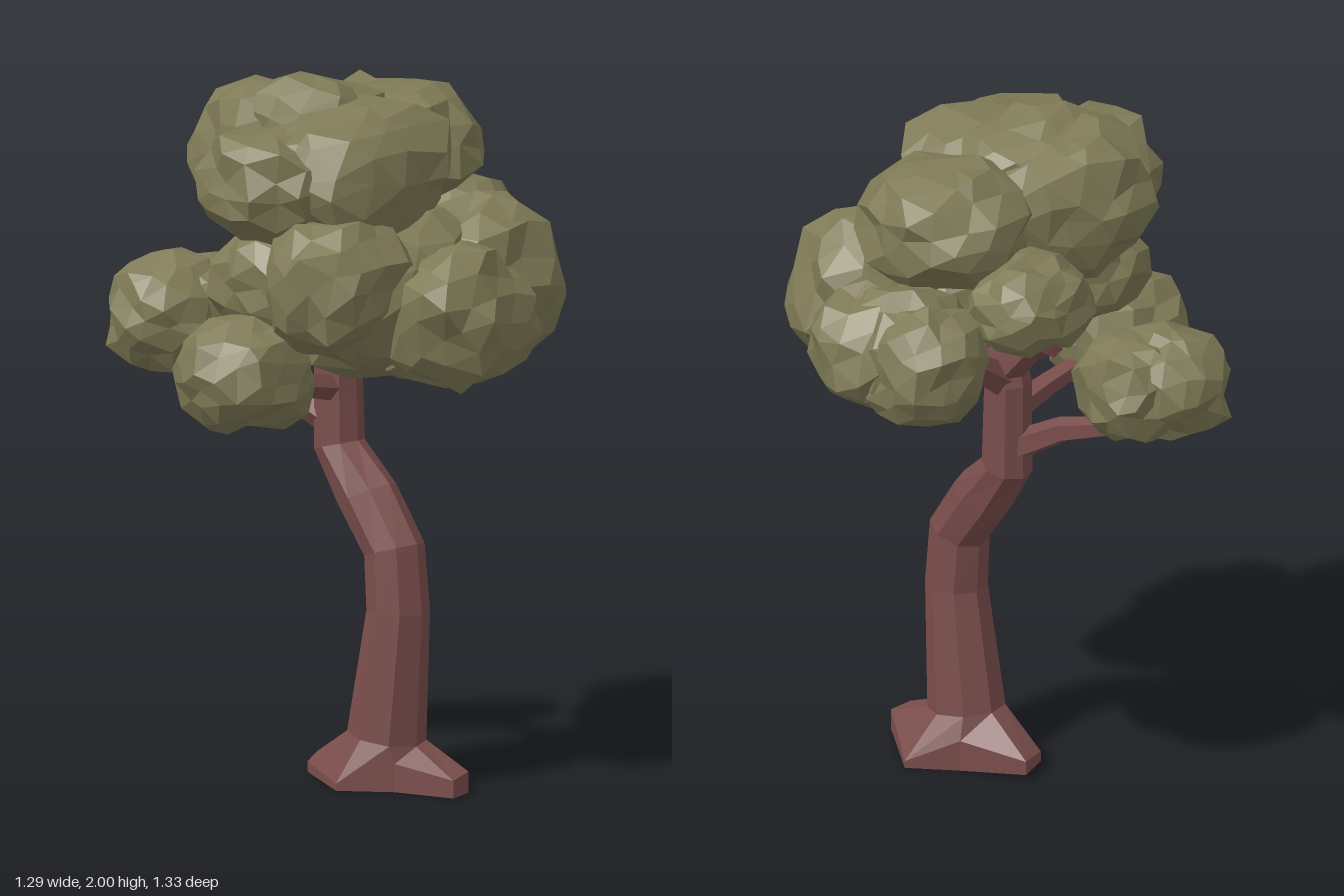
import * as THREE from 'three';

const bark = new THREE.MeshStandardMaterial({ color: 0x7a4e4c, flatShading: true });
const leaf = new THREE.MeshStandardMaterial({ color: 0x7f7a56, flatShading: true });

// Repeatable noise in -0.5..0.5 from a point
function hash(p, seed) {
  const [x, y, z] = [p.x, p.y, p.z].map((c) => Math.round(c * 500));
  const s = Math.sin(x * 1.27 + y * 3.11 + z * 7.47 + seed * 5.3) * 4375.85;
  return s - Math.floor(s) - 0.5;
}

// Faceted leaf clump: a slightly boxy icosphere with lumps and uneven corners
function clump(name, seed, [x, y, z], [rx, ry, rz]) {
  const geo = new THREE.IcosahedronGeometry(1, 2);
  const pos = geo.attributes.position;
  const v = new THREE.Vector3();
  for (let i = 0; i < pos.count; i++) {
    v.fromBufferAttribute(pos, i);
    const jitter = new THREE.Vector3(hash(v, seed), hash(v, seed + 31), hash(v, seed + 67));
    const boxy = Math.pow(Math.abs(v.x) ** 2.4 + Math.abs(v.y) ** 2.4 + Math.abs(v.z) ** 2.4, -1 / 2.4);
    const lump = 0.06 * Math.sin(4 * v.x + seed) * Math.cos(4 * v.y + 3 * v.z + seed * 2);
    v.multiplyScalar(boxy * (0.99 + lump)).addScaledVector(jitter, 0.2);
    pos.setXYZ(i, v.x * rx, v.y * ry, v.z * rz);
  }
  geo.computeVertexNormals();
  const mesh = new THREE.Mesh(geo, leaf);
  mesh.name = name;
  mesh.position.set(x, y, z);
  return mesh;
}

// Skin a list of closed rings (equal point counts) and cap both ends
function loft(name, rings) {
  const n = rings[0].length;
  const pts = rings.flat();
  const index = [];
  for (let r = 0; r < rings.length - 1; r++) {
    for (let i = 0; i < n; i++) {
      const a = r * n + i, b = r * n + (i + 1) % n;
      index.push(a, a + n, b, b, a + n, b + n);
    }
  }
  for (const [r, flip] of [[0, false], [rings.length - 1, true]]) {
    const c = new THREE.Vector3();
    rings[r].forEach((p) => c.addScaledVector(p, 1 / n));
    pts.push(c);
    for (let i = 0; i < n; i++) {
      const a = r * n + i, b = r * n + (i + 1) % n;
      index.push(pts.length - 1, ...(flip ? [b, a] : [a, b]));
    }
  }
  const geo = new THREE.BufferGeometry().setFromPoints(pts);
  geo.setIndex(index);
  geo.computeVertexNormals();
  const mesh = new THREE.Mesh(geo, bark);
  mesh.name = name;
  return mesh;
}

// Tapered five-sided limb along a few points
function limb(name, points, r0, r1) {
  const path = points.map((p) => new THREE.Vector3(...p));
  const rings = path.map((p, i) => {
    const dir = path[Math.min(i + 1, path.length - 1)].clone().sub(path[Math.max(i - 1, 0)]).normalize();
    const side = new THREE.Vector3(0, 1, 0).cross(dir).normalize();
    const up = dir.clone().cross(side);
    const r = THREE.MathUtils.lerp(r0, r1, i / (path.length - 1));
    return Array.from({ length: 5 }, (_, k) => {
      const a = -k * Math.PI * 2 / 5;
      return p.clone().addScaledVector(side, Math.cos(a) * r).addScaledVector(up, Math.sin(a) * r);
    });
  });
  return loft(name, rings);
}

// Bent trunk rising from an uneven star of roots
function trunk() {
  // root outline: x, z and height of the upper edge
  const roots = [
    [0.43, 0.03, 0.05], [0.25, 0.08, 0.08], [0.12, 0.18, 0.02], [-0.06, 0.11, 0.05],
    [-0.11, 0.02, 0.06], [0.06, -0.08, 0.09], [0.17, -0.19, 0.02], [0.4, -0.06, 0.06],
  ];
  const rings = [
    roots.map(([x, z]) => new THREE.Vector3(x, x < 0 ? 0.02 : 0, z)),
    roots.map(([x, z, y]) => new THREE.Vector3(x, y, z)),
  ];
  // centre x, y, half width in x, half width in z, slope of the ring
  for (const [x, y, rx, rz, slope] of [
    [0.155, 0.14, 0.115, 0.105, -0.15], [0.2, 0.5, 0.092, 0.085, 0], [0.185, 0.67, 0.088, 0.08, 0.3],
    [0.08, 0.81, 0.085, 0.077, 0.5], [-0.03, 0.94, 0.072, 0.07, 0.25], [-0.035, 1.2, 0.068, 0.066, 0],
    [0.02, 1.45, 0.045, 0.045, 0],
  ]) {
    rings.push(roots.map((_, i) => {
      const a = i / roots.length * Math.PI * 2;
      return new THREE.Vector3(x + Math.cos(a) * rx, y + Math.cos(a) * rx * slope, 0.015 + Math.sin(a) * rz);
    }));
  }
  return loft('trunk', rings);
}

export function createModel() {
  const group = new THREE.Group();
  group.add(trunk());

  // Branches reaching into the outer clumps
  group.add(
    limb('lowerBranch', [[-0.05, 1.0, 0.02], [-0.2, 1.09, 0.08], [-0.32, 1.12, 0.16], [-0.42, 1.22, 0.22]], 0.045, 0.022),
    limb('frontBranch', [[-0.03, 1.1, 0.02], [0, 1.13, 0.18], [0.03, 1.17, 0.4]], 0.042, 0.025),
    limb('upperBranch', [[-0.04, 1.24, 0], [-0.14, 1.34, 0.01], [-0.27, 1.41, -0.02], [-0.36, 1.44, -0.08], [-0.36, 1.55, -0.14]], 0.05, 0.022),
    limb('backBranch', [[-0.03, 1.2, 0], [-0.08, 1.3, -0.14], [-0.14, 1.35, -0.32], [-0.17, 1.42, -0.46]], 0.05, 0.024),
  );

  // Leaf clumps: name, centre, radii
  const clumps = [
    ['crownLeaves', [-0.14, 1.77, 0.13], [0.23, 0.21, 0.25]],
    ['crownLeaves', [0.15, 1.75, 0.13], [0.215, 0.2, 0.31]],
    ['crownLeaves', [0.03, 1.73, 0.33], [0.21, 0.17, 0.2]],
    ['crownLeaves', [-0.06, 1.76, -0.22], [0.24, 0.18, 0.23]],
    ['crownLeaves', [-0.05, 1.82, 0.1], [0.18, 0.17, 0.23]],
    ['middleLeaves', [0.2, 1.42, 0.08], [0.26, 0.24, 0.29]],
    ['middleLeaves', [0.03, 1.46, 0.32], [0.18, 0.16, 0.17]],
    ['middleLeaves', [0.25, 1.47, 0.31], [0.185, 0.2, 0.21]],
    ['sideLeaves', [0.43, 1.37, 0.04], [0.2, 0.2, 0.2]],
    ['sideLeaves', [0.31, 1.42, -0.2], [0.2, 0.23, 0.23]],
    ['sideLeaves', [0.3, 1.32, -0.06], [0.25, 0.17, 0.23]],
    ['backLeaves', [-0.24, 1.45, -0.44], [0.17, 0.17, 0.16]],
    ['backLeaves', [-0.06, 1.46, -0.47], [0.18, 0.17, 0.19]],
    ['backLeaves', [-0.15, 1.46, -0.42], [0.2, 0.18, 0.18]],
    ['backLeaves', [-0.35, 1.595, -0.15], [0.145, 0.13, 0.18]],
    ['lowerSideLeaves', [-0.47, 1.29, 0.25], [0.17, 0.16, 0.16]],
    ['lowerSideLeaves', [-0.42, 1.29, 0.15], [0.16, 0.15, 0.15]],
    ['lowerFrontLeaves', [0.05, 1.21, 0.46], [0.17, 0.16, 0.2]],
  ];
  clumps.forEach(([name, centre, radii], i) => group.add(clump(name, i + 1, centre, radii)));
  return group;
}
